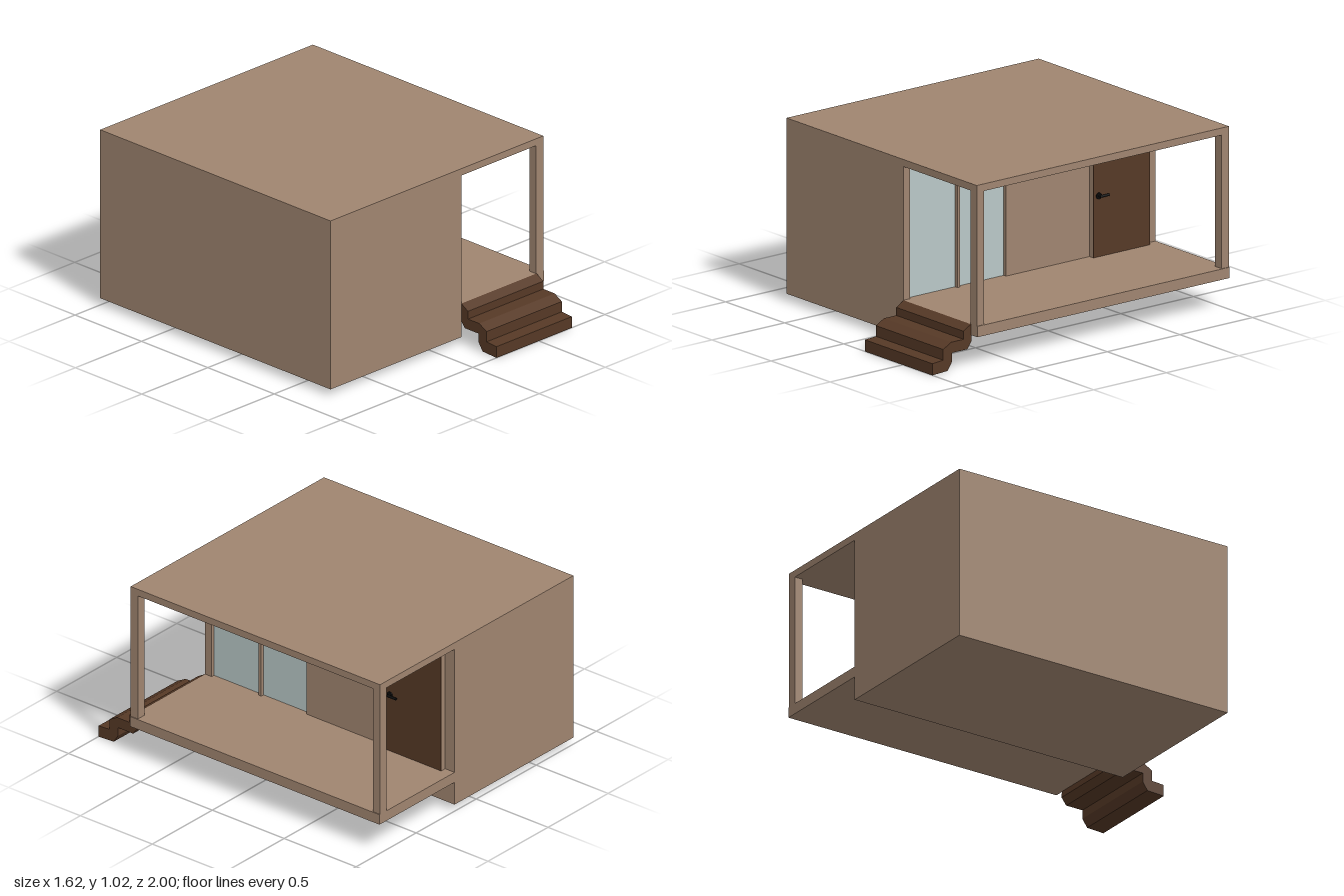
import * as THREE from 'three';

const mat = (color) => new THREE.MeshStandardMaterial({ color });
const wall = mat(0xa08570), wood = mat(0x563926), glass = mat(0xb9c8c7), black = mat(0x0c0c0c);

export function createModel() {
  const model = new THREE.Group();

  const add = (name, geometry, material) => {
    const mesh = new THREE.Mesh(geometry, material);
    mesh.name = name;
    model.add(mesh);
    return mesh;
  };

  // Box given by its extents on each axis
  const box = (name, [x0, x1], [y0, y1], [z0, z1], material) => {
    const g = new THREE.BoxGeometry(x1 - x0, y1 - y0, z1 - z0);
    g.translate((x0 + x1) / 2, (y0 + y1) / 2, (z0 + z1) / 2);
    return add(name, g, material);
  };

  // Side profile of (z, y) points, extruded across x from x0 to x1
  const shapeOf = (pts) => new THREE.Shape(pts.map(([z, y]) => new THREE.Vector2(z, y)));
  const extrudeX = (name, shape, x0, x1, material) => {
    const g = new THREE.ExtrudeGeometry(shape, { depth: x1 - x0, bevelEnabled: false });
    g.rotateY(-Math.PI / 2).translate(x1, 0, 0);
    return add(name, g, material);
  };
  const rect = (z0, z1, y0, y1) => [[z0, y0], [z1, y0], [z1, y1], [z0, y1]];

  const back = -1, front = 0.735, floorY = 0.235, ceilY = 0.98, wallX = 0.18;

  // Closed cabin and its porch-side wall with two window openings
  box('cabin', [-0.81, 0.155], [0.04, 1.02], [back, front], wall);
  const side = shapeOf(rect(back, front, 0.04, 1.02));
  const windows = [[0.365, 0.69], [0.03, 0.345]];
  for (const [z0, z1] of windows) side.holes.push(shapeOf(rect(z0, z1, floorY, ceilY)));
  extrudeX('porchWall', side, 0.155, wallX, wall);
  for (const [z0, z1] of windows) box('windowPane', [0.15, 0.16], [floorY, ceilY], [z0, z1], glass);

  // Porch deck, roof and corner posts
  box('deck', [wallX, 0.805], [0.175, floorY], [back, front], wall);
  box('porchRoof', [wallX, 0.8], [ceilY, 1.02], [back, front], wall);
  for (const z of [back, front - 0.05]) box('cornerPost', [0.745, 0.8], [floorY, ceilY], [z, z + 0.05], wall);

  // Door with its casing
  box('doorCasing', [wallX, 0.211], [floorY, ceilY], [-0.935, -0.545], wall);
  box('door', [0.211, 0.214], [floorY, ceilY], [-0.935, -0.545], wood);

  // Door handle: rosette, neck and lever
  const rosette = new THREE.CylinderGeometry(0.018, 0.018, 0.006, 16).rotateZ(Math.PI / 2);
  add('handleRosette', rosette, black).position.set(0.217, 0.575, -0.58);
  const neck = new THREE.CylinderGeometry(0.006, 0.006, 0.022, 10).rotateZ(Math.PI / 2);
  add('handleNeck', neck, black).position.set(0.225, 0.575, -0.58);
  const lever = new THREE.CylinderGeometry(0.007, 0.007, 0.06, 10).rotateX(Math.PI / 2);
  add('handleLever', lever, black).position.set(0.232, 0.575, -0.607);

  // Wall lamp
  box('wallLamp', [0.187, 0.235], [0.78, 0.885], [-0.435, -0.4], wood);
  box('lampBracket', [wallX, 0.187], [0.81, 0.855], [-0.427, -0.408], wood);

  // Folded-slab stairs
  const stairs = shapeOf([
    [1, 0], [1, 0.065], [0.925, 0.07], [0.925, 0.13], [0.87, 0.16], [0.785, 0.16],
    [0.785, 0.205], [0.735, 0.235], [0.73, 0.14], [0.76, 0.1], [0.865, 0.1], [0.865, 0.05], [0.895, 0.005],
  ]);
  extrudeX('stairs', stairs, wallX, 0.75, wood);

  return model;
}
